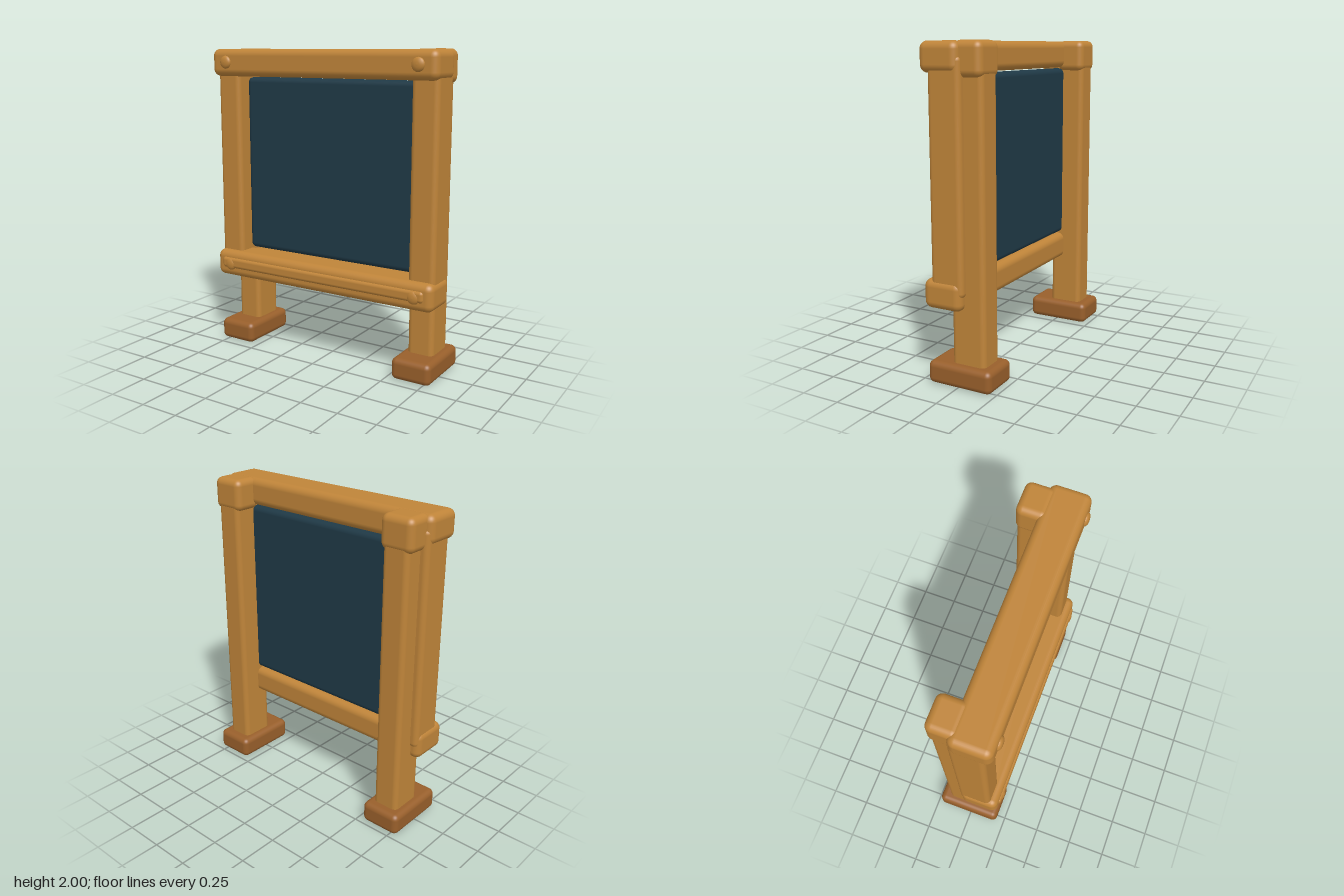
import * as THREE from 'three';
import { RoundedBoxGeometry } from 'three/addons/geometries/RoundedBoxGeometry.js';

const wood = new THREE.MeshStandardMaterial({ name: 'wood', color: 0xbf8439 });
const darkWood = new THREE.MeshStandardMaterial({ name: 'dark wood', color: 0x985f2b });
const slate = new THREE.MeshStandardMaterial({ name: 'slate', color: 0x1f3946 });

// Rounded beam given by its limits on each axis
function beam(name, [x0, x1], [y0, y1], [z0, z1], radius, material) {
  const geometry = new RoundedBoxGeometry(x1 - x0, y1 - y0, z1 - z0, 4, radius);
  const mesh = new THREE.Mesh(geometry, material);
  mesh.position.set((x0 + x1) / 2, (y0 + y1) / 2, (z0 + z1) / 2);
  mesh.name = name;
  return mesh;
}

// Round-edged peg with a nearly flat face on the front of a rail
function peg(name, x, y) {
  const profile = [[0.042, 0], [0.042, 0.02], [0.038, 0.029], [0.028, 0.036], [0.014, 0.039], [0, 0.04]];
  const geometry = new THREE.LatheGeometry(profile.map(([r, h]) => new THREE.Vector2(r, h)), 24);
  const mesh = new THREE.Mesh(geometry, wood);
  mesh.rotation.x = Math.PI / 2;
  mesh.position.set(x, y, 0.19);
  mesh.name = name;
  return mesh;
}

export function createModel() {
  const group = new THREE.Group();
  group.name = 'chalkboard stand';

  // Writing panel
  group.add(beam('board', [-0.63, 0.63], [0.655, 1.815], [-0.027, 0.07], 0.035, slate));

  // Horizontal rails and the chalk ledge strip
  group.add(beam('topRail', [-0.81, 0.81], [1.822, 1.997], [-0.042, 0.21], 0.045, wood));
  group.add(beam('bottomRail', [-0.81, 0.81], [0.469, 0.646], [-0.042, 0.21], 0.045, wood));
  group.add(beam('ledgeStrip', [-0.757, 0.757], [0.529, 0.603], [0.17, 0.223], 0.022, wood));

  for (const [side, s] of [['left', 1], ['right', -1]]) {
    // Mirror the x limits for the right side
    const span = (a, b) => (s > 0 ? [a, b] : [-b, -a]);

    group.add(beam(side + 'Stile', span(0.625, 0.798), [0.55, 1.92], [-0.051, 0.161], 0.032, wood));
    group.add(beam(side + 'Post', span(0.579, 0.751), [0, 1.95], [-0.169, 0.052], 0.032, wood));
    group.add(beam(side + 'PostCap', span(0.557, 0.776), [1.797, 2], [-0.174, 0.012], 0.042, wood));
    group.add(beam(side + 'Foot', span(0.536, 0.8), [0.003, 0.142], [-0.23, 0.196], 0.036, darkWood));
    group.add(peg(side + 'TopPeg', s * 0.69, 1.912));
    group.add(peg(side + 'BottomPeg', s * 0.69, 0.557));
  }
  return group;
}
